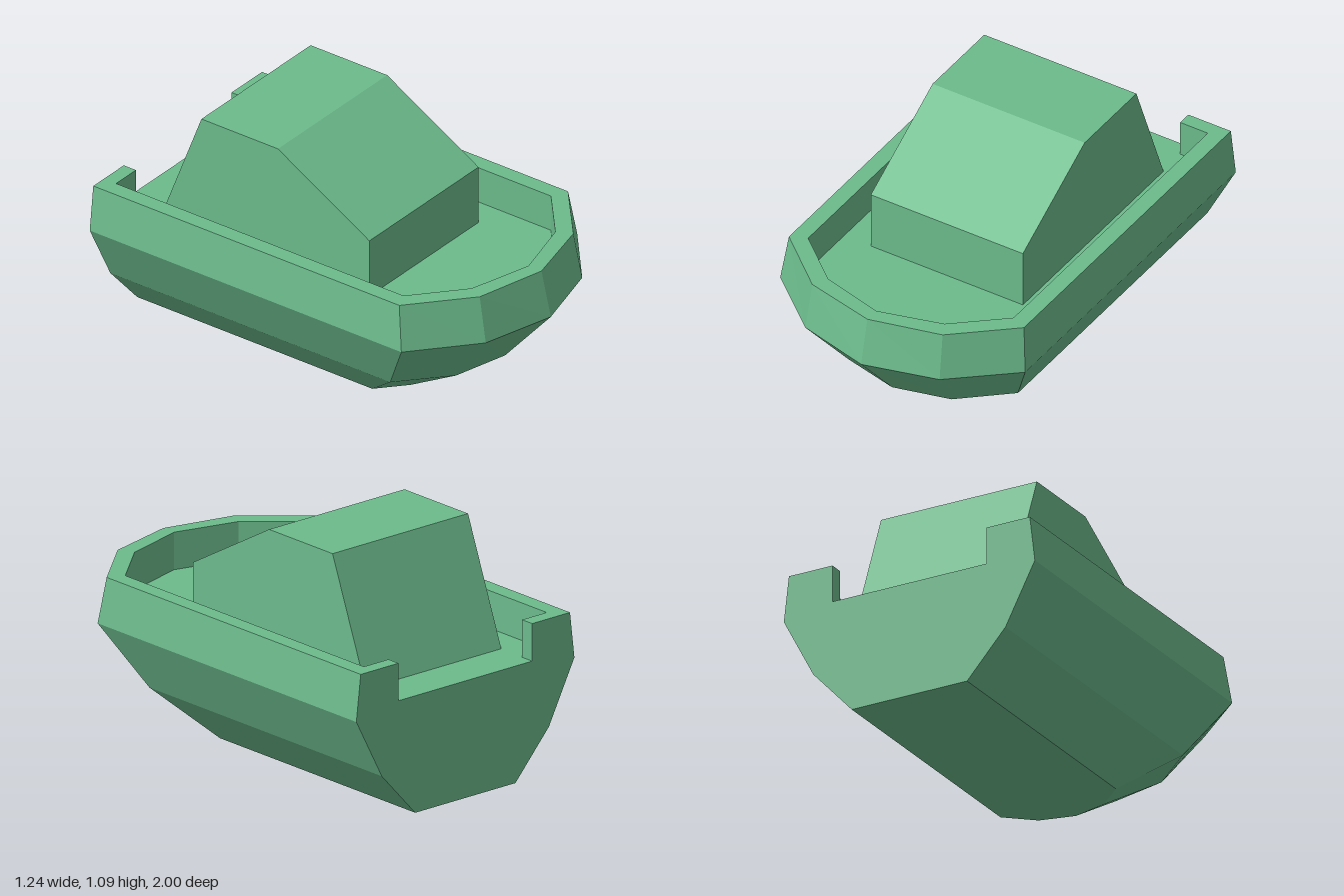
import * as THREE from 'three';

const DECK = 0.53, RIM = 0.7, STERN = -1;

// Full outline [x, z] from half an outline (left stern to bow); last point lies on the centre line
const mirror = (half) => [...half, ...half.slice(0, -1).reverse().map(([x, z]) => [-x, z])];

// Wall through outlines stacked at rising heights; faces the inside of the outline unless outward
function wall(levels, outward) {
  const pos = [];
  for (let l = 0; l < levels.length - 1; l++) {
    const [lo, hi] = [levels[l], levels[l + 1]];
    for (let i = 0; i < lo.path.length - 1; i++) {
      const at = (lev, k) => [lev.path[k][0], lev.y, lev.path[k][1]];
      const a = at(lo, i), b = at(lo, i + 1), c = at(hi, i + 1), d = at(hi, i);
      const tris = outward ? [a, c, b, a, d, c] : [a, b, c, a, c, d];
      tris.forEach((p) => pos.push(...p));
    }
  }
  const g = new THREE.BufferGeometry();
  g.setAttribute('position', new THREE.Float32BufferAttribute(pos, 3));
  g.computeVertexNormals();
  return g;
}

const polygon = (pts) => new THREE.Shape(pts.map(([x, y]) => new THREE.Vector2(x, y)));

// Horizontal face from an [x, z] outline, facing up or down
function flat(path, y, up = true) {
  const s = up ? -1 : 1;
  return new THREE.ShapeGeometry(polygon(path.map(([x, z]) => [x, s * z])))
    .rotateX(s * Math.PI / 2).translate(0, y, 0);
}

export function createModel() {
  const boat = new THREE.Group();
  boat.name = 'boat';
  const material = new THREE.MeshStandardMaterial({ color: 0x6cbb8c, flatShading: true });
  const add = (parent, name, geometry) => {
    const mesh = new THREE.Mesh(geometry, material);
    mesh.name = name;
    parent.add(mesh);
  };

  // Hull outlines: keel, bilge, widest line and rim
  const levels = [
    [0, [0.285, 0.26], [0.16, 0.37], [0, 0.41]],
    [0.21, [0.475, 0.5], [0.26, 0.69], [0, 0.755]],
    [0.49, [0.62, 0.67], [0.34, 0.91], [0, 1]],
    [RIM, [0.595, 0.64], [0.33, 0.87], [0, 0.95]],
  ].map(([y, side, ...bow]) => ({ y, path: mirror([[side[0], STERN], side, ...bow]) }));

  // Inside of the bulwark, with the gap at the stern
  const inner = mirror([[0.38, STERN], [0.38, -0.935], [0.52, -0.935], [0.52, 0.605], [0.295, 0.8], [0, 0.88]]);

  const hull = new THREE.Group();
  hull.name = 'hull';
  boat.add(hull);
  add(hull, 'hullSides', wall(levels, true));
  add(hull, 'hullBottom', flat(levels[0].path, 0, false));
  add(hull, 'bulwarkInside', wall([{ y: DECK, path: inner }, { y: RIM, path: inner }], false));
  add(hull, 'rim', flat([...levels[3].path, ...[...inner].reverse()], RIM));
  add(hull, 'deck', flat(inner, DECK));

  // Transom with the notch cut down to the deck
  const sternSide = levels.map(({ y, path }) => [path[0][0], y]);
  const notch = [[0.38, RIM], [0.38, DECK]];
  const halfStern = [...sternSide, ...notch];
  const sternOutline = [...halfStern, ...[...halfStern].reverse().map(([x, y]) => [-x, y])];
  add(hull, 'transom', new THREE.ShapeGeometry(polygon(sternOutline)).rotateY(Math.PI).translate(0, 0, STERN));

  // Cabin: side profile [z, y] extruded across the boat
  const profile = polygon([[0.32, DECK], [0.32, 0.805], [-0.17, 1.085], [-0.58, 1.085], [-0.795, DECK]]);
  add(boat, 'cabin', new THREE.ExtrudeGeometry(profile, { depth: 0.77, bevelEnabled: false })
    .rotateY(-Math.PI / 2).translate(0.385, 0, 0));

  return boat;
}
